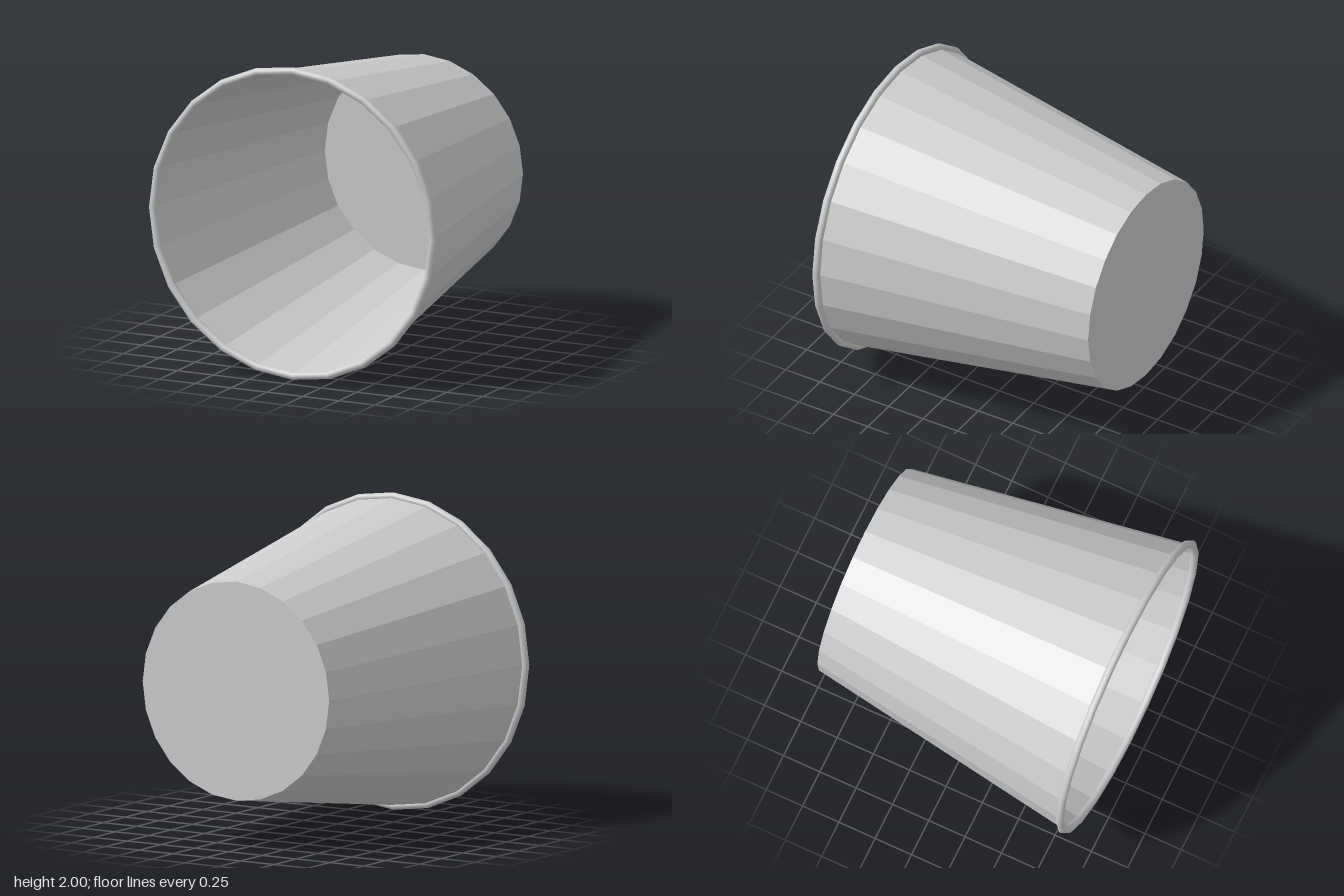
import * as THREE from 'three';

const SIDES = 24;
const BACK_Z = -0.915, RIM_Z = 0.89;
const BASE_RADIUS = 0.69, MOUTH_RADIUS = 0.97;
const RIM_RADIUS = 0.975, RIM_TUBE = 0.025;

export function createModel() {
  const group = new THREE.Group();
  group.name = 'bucketOnItsSide';

  const flat = new THREE.MeshStandardMaterial({ color: 0xcccccc, flatShading: true, side: THREE.DoubleSide });
  const smooth = new THREE.MeshStandardMaterial({ color: 0xcccccc });

  const add = (name, geometry, material, z) => {
    const mesh = new THREE.Mesh(geometry, material);
    mesh.name = name;
    mesh.position.set(0, 1, z);
    group.add(mesh);
  };

  // Thin tapered wall, open towards the front
  const wall = new THREE.CylinderGeometry(MOUTH_RADIUS, BASE_RADIUS, RIM_Z - BACK_Z, SIDES, 1, true);
  wall.rotateX(Math.PI / 2);
  add('wall', wall, flat, (RIM_Z + BACK_Z) / 2);

  // Flat base closing the narrow end
  const base = new THREE.CircleGeometry(BASE_RADIUS, SIDES);
  base.rotateY(Math.PI);
  add('base', base, flat, BACK_Z);

  // Rolled rim around the mouth
  add('rim', new THREE.TorusGeometry(RIM_RADIUS, RIM_TUBE, 12, SIDES), smooth, RIM_Z);

  return group;
}
